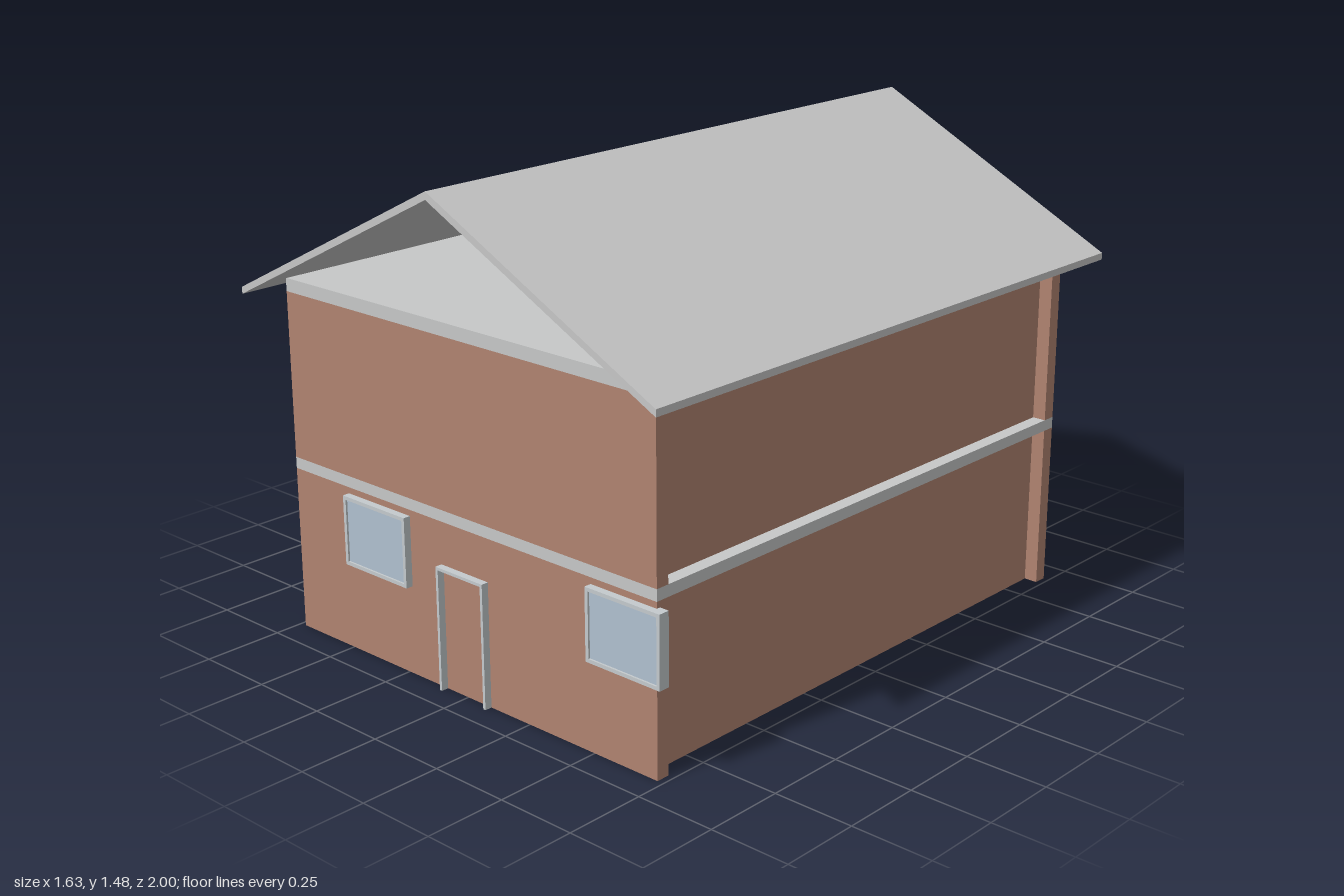
import * as THREE from 'three';

const mat = (name, color) => Object.assign(new THREE.MeshStandardMaterial({ color }), { name });

export function createModel() {
  const brick = mat('brick', 0xb08370);
  const concrete = mat('concrete', 0xc6c8c8);
  const roofGrey = mat('roofGrey', 0xc6c6c6);
  const frameGrey = mat('frameGrey', 0xc4cacd);
  const glass = mat('glass', 0xb0c0d0);

  const house = new THREE.Group();
  house.name = 'house';

  // Box given by its min and max along each axis
  const box = (name, material, [x0, x1], [y0, y1], [z0, z1], parent = house) => {
    const mesh = new THREE.Mesh(new THREE.BoxGeometry(x1 - x0, y1 - y0, z1 - z0), material);
    mesh.position.set((x0 + x1) / 2, (y0 + y1) / 2, (z0 + z1) / 2);
    mesh.name = name;
    parent.add(mesh);
  };

  // Profile in the xy plane pushed along z from z0 to z1
  const extrude = (name, material, shape, z0, z1, parent = house) => {
    const geo = new THREE.ExtrudeGeometry(shape, { depth: z1 - z0, bevelEnabled: false });
    const mesh = new THREE.Mesh(geo, material);
    mesh.position.z = z0;
    mesh.name = name;
    parent.add(mesh);
  };
  const polygon = (pts) => new THREE.Shape(pts.map(([x, y]) => new THREE.Vector2(x, y)));

  const W = 0.73, D = 0.907, T = 0.043;

  // Two storeys: four walls each, capped by a slab
  // The right wall is set in and the left wall stands proud of the slab
  const storeys = [['lower', 0, 0.51, 0.545], ['upper', 0.545, 1.055, 1.095]];
  for (const [level, y0, y1, y2] of storeys) {
    const h = [y0, y1], between = [-D + T, D - T];
    box(level + 'FrontWall', brick, [-W, W], h, [D - T, D]);
    box(level + 'BackWall', brick, [-W, W], h, [-D, -D + T]);
    box(level + 'LeftWall', brick, [W - 2 * T, W - T], h, between);
    box(level + 'RightWall', brick, [-W - T, -W], h, between);
    box(level + 'Slab', concrete, [-W, W], [y1, y2], [-D, D]);
  }

  // Gable roof, open at both ends
  const E = 0.816;
  extrude('roof', roofGrey, polygon([
    [-E, 1.05], [0, 1.458], [E, 1.05], [E, 1.071], [0, 1.481], [-E, 1.071],
  ]), -1, 1);

  // Windows: a frame around a pane; one overhangs the wall's end
  for (const x of [-0.49, 0.493]) {
    const win = new THREE.Group();
    win.name = 'window';
    house.add(win);
    const x1 = x + 0.267, y0 = 0.276, y1 = 0.491, b = 0.011;
    const frame = polygon([[x, y0], [x1, y0], [x1, y1], [x, y1]]);
    frame.holes.push(polygon([[x + b, y0 + b], [x + b, y1 - b], [x1 - b, y1 - b], [x1 - b, y0 + b]]));
    extrude('windowFrame', frameGrey, frame, 0.895, 0.93, win);
    box('windowPane', glass, [x + b, x1 - b], [y0 + b, y1 - b], [0.9, 0.924], win);
  }

  // Door surround
  const d = 0.095, f = 0.009;
  extrude('doorFrame', frameGrey, polygon([
    [-d, 0], [-d + f, 0], [-d + f, 0.38 - f], [d - f, 0.38 - f],
    [d - f, 0], [d, 0], [d, 0.38], [-d, 0.38],
  ]), D - 0.01, 0.93);

  return house;
}
